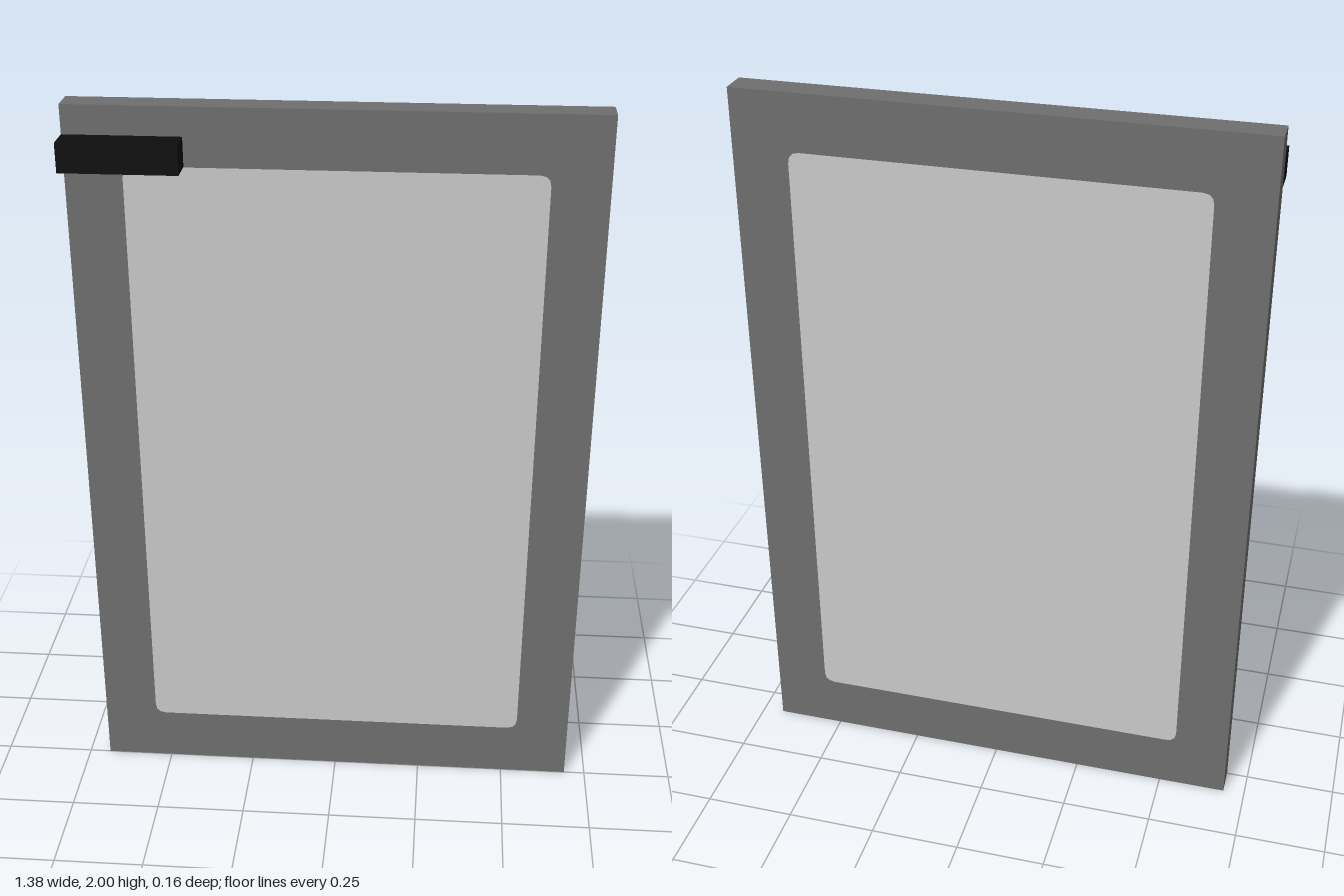
import * as THREE from 'three';

const W = 1.38, H = 2, D = 0.077;

// Rectangle outline with small softened corners, centred on the origin
function roundedRect(w, h, r) {
  const x = w / 2, y = h / 2;
  const s = new THREE.Shape();
  s.moveTo(-x + r, -y);
  s.lineTo(x - r, -y);
  s.quadraticCurveTo(x, -y, x, -y + r);
  s.lineTo(x, y - r);
  s.quadraticCurveTo(x, y, x - r, y);
  s.lineTo(-x + r, y);
  s.quadraticCurveTo(-x, y, -x, y - r);
  s.lineTo(-x, -y + r);
  s.quadraticCurveTo(-x, -y, -x + r, -y);
  return s;
}

export function createModel() {
  const group = new THREE.Group();
  group.name = 'door';

  const frameGrey = new THREE.MeshStandardMaterial({ color: 0x6f6f6f });
  frameGrey.name = 'frame grey';
  const paneGrey = new THREE.MeshStandardMaterial({ color: 0xcacaca });
  paneGrey.name = 'pane light grey';
  const handleBlack = new THREE.MeshStandardMaterial({ color: 0x0d0d0d });
  handleBlack.name = 'handle black';

  function add(name, geometry, material, x, y, z) {
    const mesh = new THREE.Mesh(geometry, material);
    mesh.name = name;
    mesh.position.set(x, y, z);
    group.add(mesh);
    return mesh;
  }

  // Door slab
  add('frame', new THREE.BoxGeometry(W, H, D), frameGrey, 0, H / 2, -D / 2);

  // Pane faces on the front and back
  const pane = new THREE.ShapeGeometry(roundedRect(1.08, 1.69, 0.03), 3);
  add('frontPane', pane, paneGrey, 0, H / 2, 0.001);
  add('backPane', pane, paneGrey, 0, H / 2, -D - 0.001).rotation.y = Math.PI;

  // Handle block at the upper right corner of the front
  add('handle', new THREE.BoxGeometry(0.307, 0.077, D), handleBlack, -W / 2 + 0.1535, 1.885, D / 2);

  return group;
}
